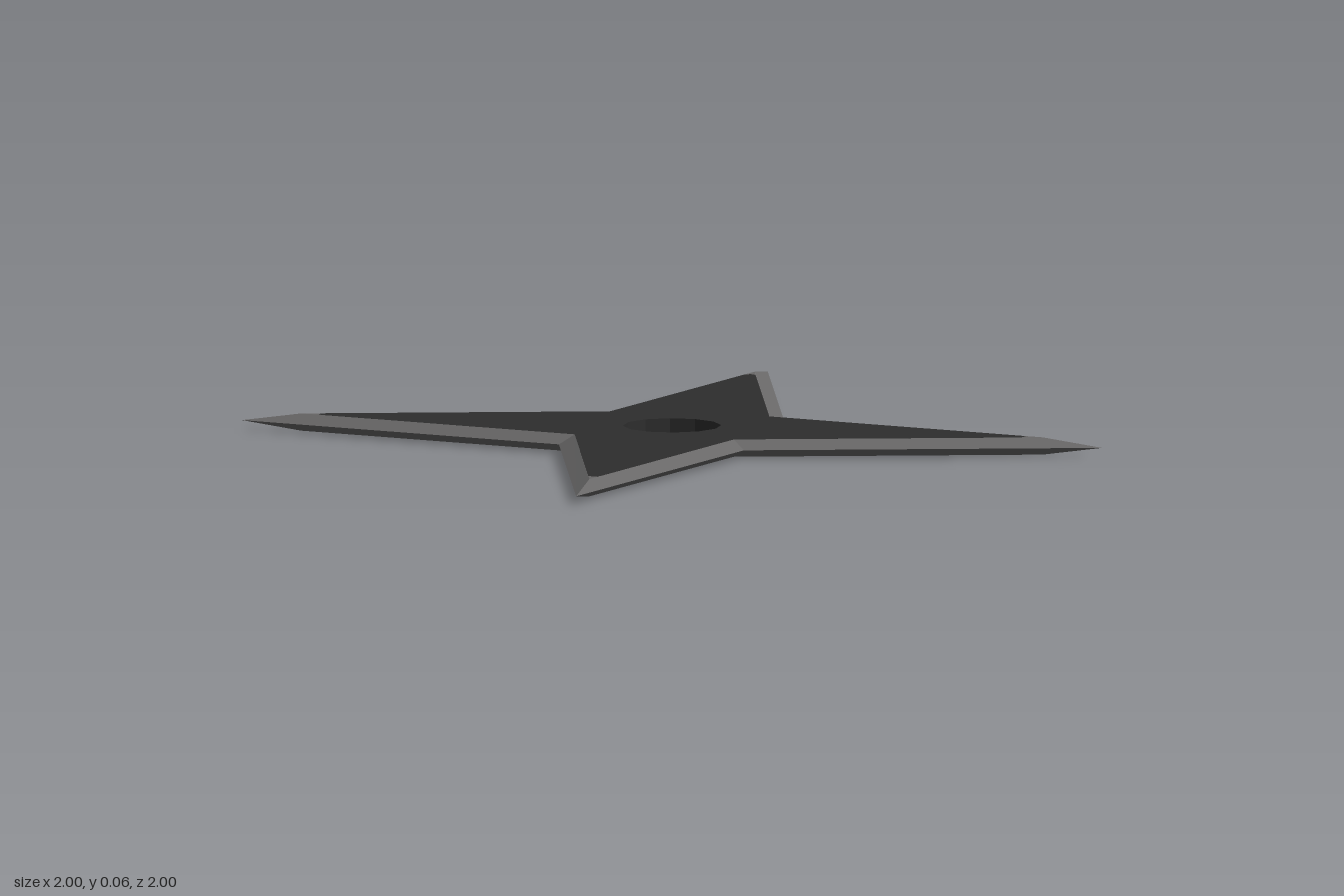
import * as THREE from 'three';

const THICK = 0.056;      // full blade thickness
const MID = THICK / 2;    // height of the sharp edge
const HOLE = 0.158;       // centre hole radius

// Turn a plan point [x, z] by q quarter turns
const turn = ([x, z], q) => {
  for (let i = 0; i < q; i++) [x, z] = [-z, x];
  return [x, z];
};

// Repeat a list of plan points around all four arms
const ring = (points) => [0, 1, 2, 3].flatMap((q) => points.map((p) => turn(p, q)));

export function createModel() {
  const blackSteel = new THREE.MeshStandardMaterial({ color: 0x2d2d2d });
  blackSteel.name = 'blackSteel';
  const groundSteel = new THREE.MeshStandardMaterial({ color: 0x686767 });
  groundSteel.name = 'groundSteel';

  const group = new THREE.Group();
  group.name = 'throwingStar';

  // Dark flat body with blunted tips and a twelve-sided hole
  const blunt = [[0.826, 0.8], [0.822, 0.822], [0.8, 0.826]];
  const outline = ring([[0.37, 0], ...blunt]);
  const shape = new THREE.Shape(outline.map(([x, z]) => new THREE.Vector2(x, z)));
  const holePoints = Array.from({ length: 12 }, (_, i) => {
    const a = (-i * Math.PI) / 6;
    return new THREE.Vector2(HOLE * Math.cos(a), HOLE * Math.sin(a));
  });
  shape.holes.push(new THREE.Path(holePoints));
  const bodyGeometry = new THREE.ExtrudeGeometry(shape, { depth: THICK, bevelEnabled: false });
  bodyGeometry.rotateX(Math.PI / 2).translate(0, THICK, 0);
  const body = new THREE.Mesh(bodyGeometry, blackSteel);
  body.name = 'body';
  group.add(body);

  // Ground edge: sloped bevels above and below, plus the flat pale tips
  const outer = ring([[0.43, 0], [1, 1]]);
  const inner = ring([[0.37, 0], [0.862, 0.862]]);
  const positions = [];
  const triangle = (a, b, c, up) => {
    const ny = (b[2] - a[2]) * (c[0] - a[0]) - (b[0] - a[0]) * (c[2] - a[2]);
    const order = ny > 0 === up ? [a, b, c] : [a, c, b];
    positions.push(...order.flat());
  };
  for (const up of [true, false]) {
    const y = up ? THICK : 0;
    const at = ([x, z], h) => [x, h, z];
    for (let i = 0; i < 8; i++) {
      const j = (i + 1) % 8;
      triangle(at(outer[i], MID), at(outer[j], MID), at(inner[j], y), up);
      triangle(at(outer[i], MID), at(inner[j], y), at(inner[i], y), up);
    }
    for (let q = 0; q < 4; q++) {
      const [a, b, c] = blunt.map((p) => at(turn(p, q), y));
      const tip = at(inner[q * 2 + 1], y);
      triangle(tip, a, b, up);
      triangle(tip, b, c, up);
    }
  }
  const edgeGeometry = new THREE.BufferGeometry();
  edgeGeometry.setAttribute('position', new THREE.Float32BufferAttribute(positions, 3));
  edgeGeometry.computeVertexNormals();
  const edge = new THREE.Mesh(edgeGeometry, groundSteel);
  edge.name = 'groundEdge';
  group.add(edge);

  return group;
}
